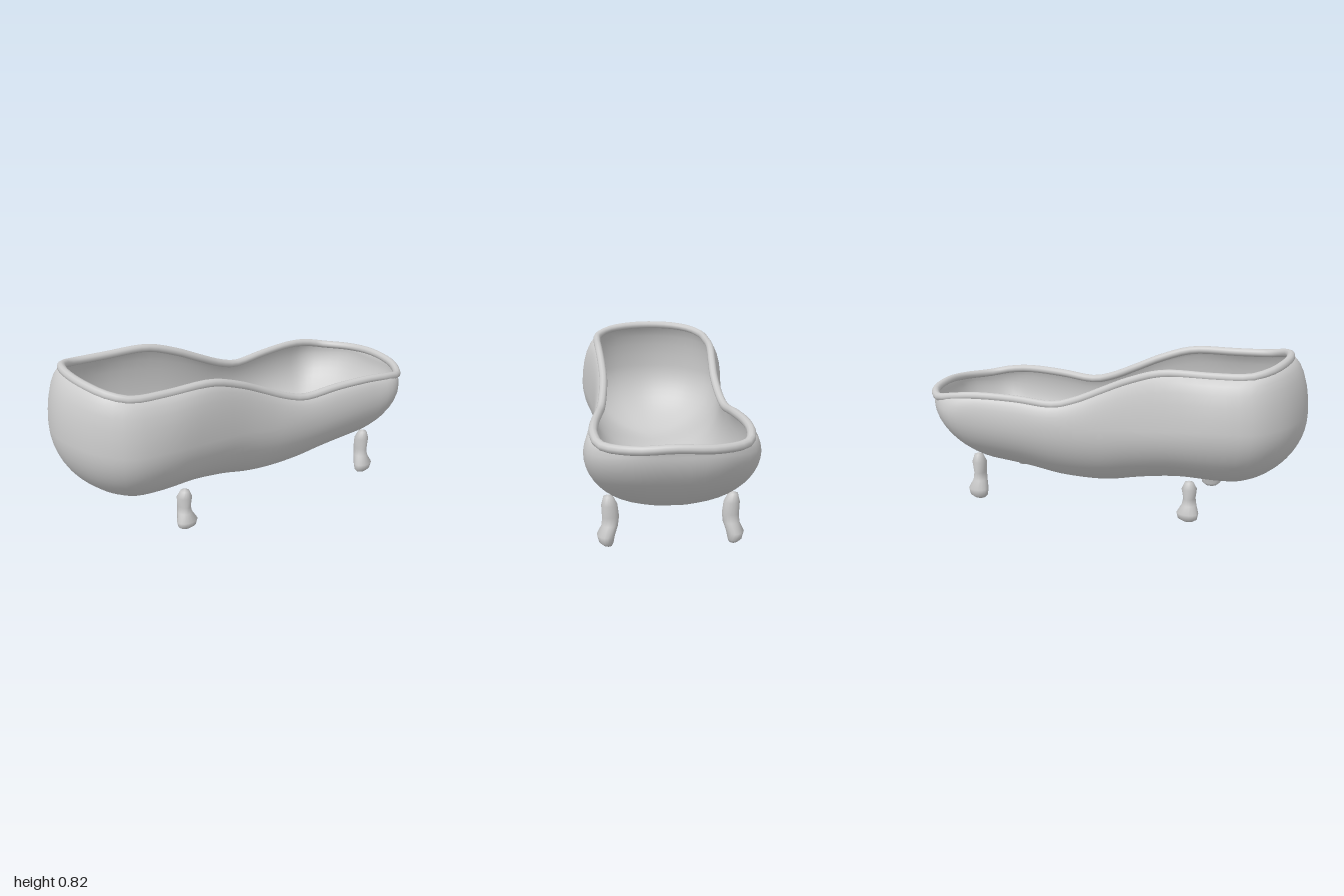
import * as THREE from 'three';
import { mergeVertices } from 'three/addons/utils/BufferGeometryUtils.js';

// Stations along one side, from the high end to the low end:
// rim x,y,z | widest belly x,y,z | floor spine x,y
const STATIONS = [
  [-0.9, 0.795, 0, -1, 0.52, 0, -0.6, 0.16],
  [-0.885, 0.79, 0.14, -0.975, 0.52, 0.15, -0.6, 0.16],
  [-0.84, 0.775, 0.25, -0.91, 0.51, 0.28, -0.6, 0.16],
  [-0.75, 0.755, 0.31, -0.79, 0.5, 0.38, -0.6, 0.16],
  [-0.58, 0.75, 0.318, -0.6, 0.5, 0.408, -0.56, 0.158],
  [-0.35, 0.748, 0.312, -0.38, 0.48, 0.38, -0.38, 0.158],
  [-0.18, 0.7, 0.3, -0.18, 0.46, 0.352, -0.18, 0.13],
  [-0.04, 0.64, 0.293, -0.03, 0.44, 0.345, -0.03, 0.1],
  [0.1, 0.58, 0.3, 0.1, 0.43, 0.35, 0.1, 0.092],
  [0.23, 0.548, 0.312, 0.25, 0.43, 0.36, 0.25, 0.1],
  [0.42, 0.565, 0.328, 0.42, 0.44, 0.375, 0.4, 0.13],
  [0.62, 0.572, 0.348, 0.63, 0.46, 0.39, 0.5, 0.15],
  [0.76, 0.56, 0.35, 0.77, 0.47, 0.395, 0.5, 0.15],
  [0.87, 0.54, 0.31, 0.87, 0.48, 0.33, 0.5, 0.15],
  [0.96, 0.545, 0.17, 0.955, 0.5, 0.19, 0.5, 0.15],
  [0.978, 0.555, 0, 0.965, 0.5, 0, 0.5, 0.15],
];

// Closed curve through one column group, mirrored to the other side
function loop(pick) {
  const side = STATIONS.map(pick);
  const other = side.slice(1, -1).reverse().map((p) => new THREE.Vector3(p.x, p.y, -p.z));
  return new THREE.CatmullRomCurve3([...side, ...other], true, 'catmullrom', 0.5);
}

// Grid surface, closed around i, from a point function; welded for smooth normals
function gridSurface(nu, nv, point) {
  const pos = [], index = [];
  for (let i = 0; i < nu; i++) {
    for (let j = 0; j <= nv; j++) pos.push(...point(i / nu, j));
  }
  for (let i = 0; i < nu; i++) {
    const k = (i + 1) % nu;
    for (let j = 0; j < nv; j++) {
      const a = i * (nv + 1) + j, c = k * (nv + 1) + j;
      index.push(a, a + 1, c, c, a + 1, c + 1);
    }
  }
  let g = new THREE.BufferGeometry();
  g.setAttribute('position', new THREE.Float32BufferAttribute(pos, 3));
  g.setIndex(index);
  g = mergeVertices(g, 1e-4);
  g.computeVertexNormals();
  return g;
}

// Leg rings from top to toe: y, z centre, z radius, x radius
const LEG = [
  [0.25, 0.295, 0, 0],
  [0.24, 0.295, 0.023, 0.022],
  [0.2, 0.29, 0.038, 0.038],
  [0.14, 0.285, 0.04, 0.029],
  [0.1, 0.289, 0.039, 0.036],
  [0.055, 0.308, 0.042, 0.056],
  [0.02, 0.307, 0.034, 0.05],
  [0.003, 0.3, 0.022, 0.03],
  [0, 0.3, 0, 0],
];

export function createModel() {
  const group = new THREE.Group();
  const material = new THREE.MeshStandardMaterial({ color: 0xcccccc, side: THREE.DoubleSide });
  const add = (name, geometry) => {
    const mesh = new THREE.Mesh(geometry, material);
    mesh.name = name;
    group.add(mesh);
    return mesh;
  };

  const rim = loop((s) => new THREE.Vector3(s[0], s[1], s[2]));
  const belly = loop((s) => new THREE.Vector3(s[3], s[4], s[5]));
  const spine = loop((s) => new THREE.Vector3(s[6], s[7], 0));

  // Shell: each meridian bulges from rim to belly, then curves under to the spine
  const UP = 6, DOWN = 14;
  add('tubShell', gridSurface(90, UP + DOWN, (u, j) => {
    const r = rim.getPoint(u), b = belly.getPoint(u), s = spine.getPoint(u);
    if (j <= UP) {
      const a = (j / UP) * Math.PI / 2, h = Math.sin(a), v = 1 - Math.cos(a);
      return [r.x + (b.x - r.x) * h, r.y + (b.y - r.y) * v, r.z + (b.z - r.z) * h];
    }
    const a = ((j - UP) / DOWN) * Math.PI / 2;
    // the low end slopes more steeply than the round high end
    const e = 1 + 0.2 * THREE.MathUtils.smoothstep(b.x, 0.6, 0.95);
    const h = j === UP + DOWN ? 0 : Math.cos(a) ** e, v = Math.sin(a) ** e;
    return [s.x + (b.x - s.x) * h, b.y + (s.y - b.y) * v, s.z + (b.z - s.z) * h];
  }));

  // Rolled lip along the rim
  add('rolledRim', new THREE.TubeGeometry(rim, 96, 0.021, 10, true));

  // Four clawed legs with feet turned outward
  const legGeometry = gridSurface(16, LEG.length - 1, (u, j) => {
    const [y, z, rz, rx] = LEG[j], a = u * Math.PI * 2;
    return [Math.sin(a) * rx, y, z - 0.29 + Math.cos(a) * rz];
  });
  for (const [end, x, z, height] of [['left', 0.66, 0.285, 1], ['right', -0.475, 0.265, 0.84]]) {
    for (const side of [1, -1]) {
      const leg = add(end + (side > 0 ? 'Front' : 'Back') + 'Leg', legGeometry);
      leg.position.set(x, 0, z * side);
      leg.rotation.y = side > 0 ? 0.15 : Math.PI - 0.15;
      leg.scale.y = height;
    }
  }
  return group;
}
